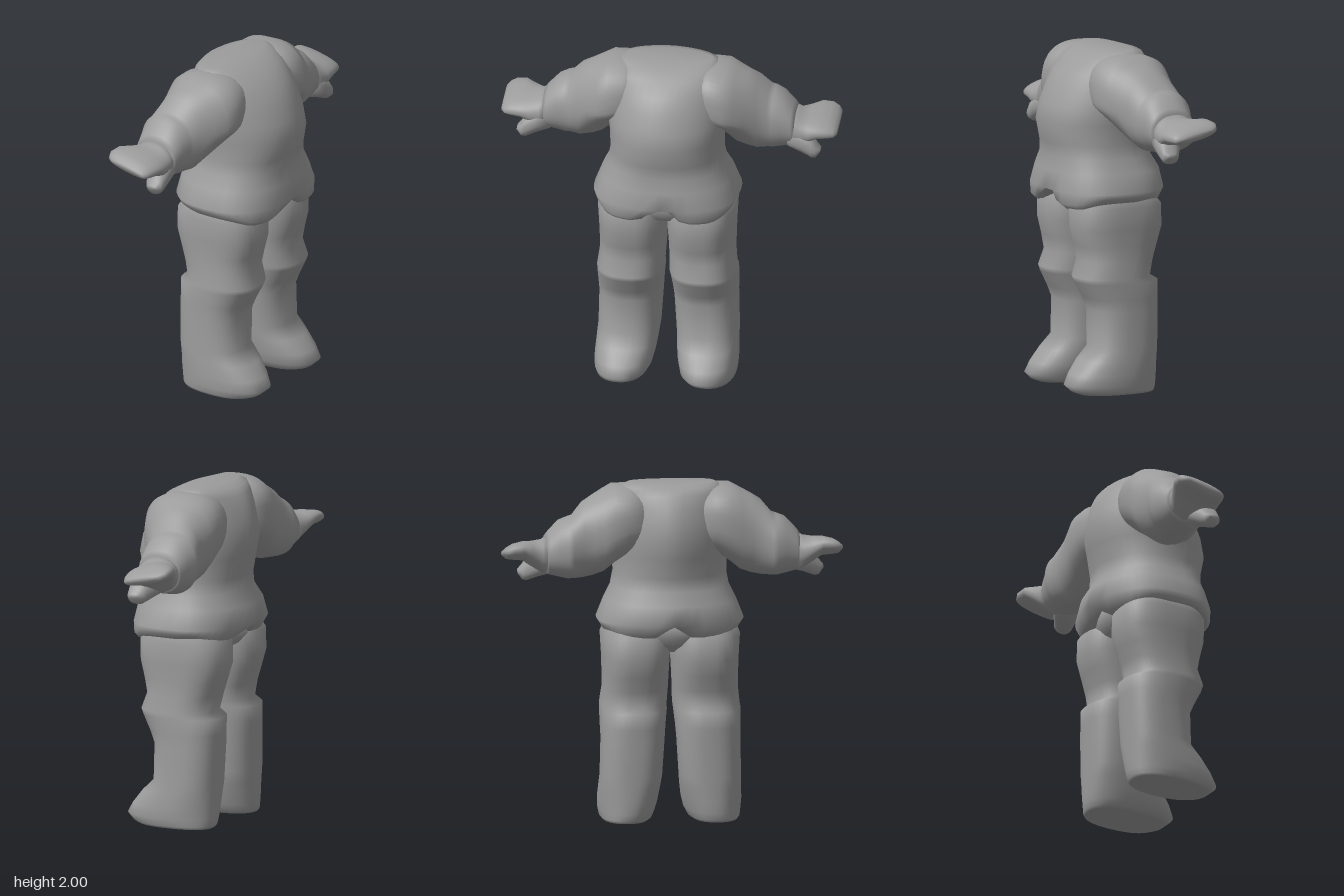
import * as THREE from 'three';

const SEG = 40;
const { clamp, smoothstep } = THREE.MathUtils;

// Rounded section between two extents on each of two axes
function section(uMin, uMax, vMin, vMax, n) {
  const pts = [];
  const uc = (uMin + uMax) / 2, ur = (uMax - uMin) / 2;
  const vc = (vMin + vMax) / 2, vr = (vMax - vMin) / 2;
  const p = (t) => Math.sign(t) * Math.pow(Math.abs(t), 2 / n);
  for (let j = 0; j < SEG; j++) {
    const a = (j / SEG) * Math.PI * 2;
    pts.push([uc + ur * p(Math.cos(a)), vc + vr * p(Math.sin(a))]);
  }
  return pts;
}

// Smooth skin over a list of rings, closed at both ends
function loft(rings) {
  const pos = [], idx = [];
  rings.forEach((r) => r.forEach((v) => pos.push(v.x, v.y, v.z)));
  for (let i = 0; i < rings.length - 1; i++) {
    for (let j = 0; j < SEG; j++) {
      const k = (j + 1) % SEG;
      const a = i * SEG + j, b = i * SEG + k, c = a + SEG, d = b + SEG;
      idx.push(a, c, b, b, c, d);
    }
  }
  [0, rings.length - 1].forEach((row) => {
    const mid = new THREE.Vector3();
    rings[row].forEach((v) => mid.addScaledVector(v, 1 / SEG));
    const m = pos.length / 3;
    pos.push(mid.x, mid.y, mid.z);
    for (let j = 0; j < SEG; j++) {
      const a = row * SEG + j, b = row * SEG + (j + 1) % SEG;
      if (row) idx.push(a, m, b); else idx.push(a, b, m);
    }
  });
  const g = new THREE.BufferGeometry();
  g.setAttribute('position', new THREE.Float32BufferAttribute(pos, 3));
  g.setIndex(idx);
  g.computeVertexNormals();
  return g;
}

const keep = (v) => v;

// Rows: y, xMin, xMax, back z, front z, squareness
const loftUp = (rows, rule = keep) => loft(rows.map(([y, x0, x1, zb, zf, n = 2.4]) =>
  section(x0, x1, zb, zf, n).map(([x, z]) => rule(new THREE.Vector3(x, y, z)))));

// Rows: x, bottom y, top y, back z, front z, squareness
const loftOut = (rows, rule = keep) => loft(rows.map(([x, y0, y1, zb, zf, n = 2.2]) =>
  section(zb, zf, y0, y1, n).map(([z, y]) => rule(new THREE.Vector3(x, y, z)))));

function mirrored(geo) {
  const g = geo.clone().scale(-1, 1, 1);
  const ix = g.index.array;
  for (let i = 0; i < ix.length; i += 3) [ix[i], ix[i + 1]] = [ix[i + 1], ix[i]];
  g.computeVertexNormals();
  return g;
}

export function createModel() {
  const model = new THREE.Group();
  model.name = 'bodySuit';
  const grey = new THREE.MeshStandardMaterial({ color: 0x9c9c9c });
  grey.name = 'suitGrey';

  const add = (name, geo) => {
    const m = new THREE.Mesh(geo, grey);
    m.name = name;
    model.add(m);
  };
  const addPair = (name, geo) => {
    add('left' + name, geo);
    add('right' + name, mirrored(geo));
  };

  // Jacket: back rounded off, hem notched at the centre and raised at the sides
  const torso = [
    [1.12, 0.37, -0.22, 0.22, 2.8],
    [1.095, 0.395, -0.265, 0.31, 2.9],
    [1.12, 0.41, -0.31, 0.34, 2.8],
    [1.19, 0.428, -0.36, 0.35, 2.6],
    [1.30, 0.385, -0.34, 0.335, 2.5],
    [1.38, 0.345, -0.29, 0.315, 2.4],
    [1.46, 0.33, -0.295, 0.33, 2.2],
    [1.58, 0.335, -0.325, 0.36, 2.1],
    [1.68, 0.35, -0.345, 0.34, 2.0],
    [1.78, 0.35, -0.335, 0.30, 1.9],
    [1.87, 0.34, -0.31, 0.25, 1.9],
    [1.94, 0.32, -0.27, 0.17, 2.1],
    [1.98, 0.29, -0.23, 0.09, 2.4],
    [2.0, 0.25, -0.16, 0.02, 2.6],
  ];
  add('jacket', loftUp(torso.map(([y, w, ...r]) => [y, -w, w, ...r]), (v) => {
    const ax = Math.abs(v.x);
    if (v.z < 0) v.z *= 1 - 0.3 * ax;
    if (v.y < 1.15) {
      const notch = Math.max(0, 1 - ax / 0.13);
      v.y += (v.z > 0 ? 0.09 : 0.05) * notch + 0.04 * smoothstep(ax, 0.28, 0.41);
      v.z *= 1 - 0.15 * notch;
    }
    return v;
  }));

  // Seat of the trousers, bridging the two legs
  add('pelvis', loftUp([
    [1.0, -0.09, 0.09, -0.13, 0.10],
    [1.05, -0.18, 0.18, -0.22, 0.19],
    [1.10, -0.24, 0.24, -0.26, 0.235],
    [1.19, -0.26, 0.26, -0.27, 0.25],
  ]));

  // Trouser leg, knee, boot with stepped calf top, and toe
  addPair('Leg', loftUp([
    [0.005, 0.13, 0.395, -0.21, 0.25, 2.4],
    [0.02, 0.105, 0.408, -0.222, 0.29, 2.3],
    [0.06, 0.085, 0.415, -0.23, 0.335, 2.2],
    [0.12, 0.07, 0.418, -0.233, 0.30, 2.3],
    [0.20, 0.058, 0.413, -0.236, 0.235, 2.4],
    [0.27, 0.05, 0.41, -0.238, 0.16, 2.5],
    [0.49, 0.036, 0.405, -0.245, 0.158, 2.5],
    [0.56, 0.03, 0.408, -0.247, 0.19, 2.4],
    [0.655, 0.02, 0.41, -0.25, 0.24, 2.4],
    [0.685, 0.018, 0.407, -0.20, 0.25, 2.4],
    [0.78, 0.014, 0.395, -0.22, 0.215, 2.5],
    [0.87, 0.01, 0.395, -0.25, 0.235, 2.5],
    [0.97, 0.005, 0.397, -0.28, 0.26, 2.6],
    [1.10, 0.0, 0.405, -0.275, 0.26, 2.6],
    [1.20, 0.02, 0.37, -0.2, 0.2, 2.4],
  ]));

  // Padded sleeve from shoulder to cuff, the front of the armpit tucked up
  addPair('Sleeve', loftOut([
    [0.12, 1.64, 1.96, -0.24, 0.14, 2.3],
    [0.25, 1.59, 1.985, -0.29, 0.185, 2.5],
    [0.34, 1.53, 1.985, -0.295, 0.19, 2.5],
    [0.40, 1.48, 1.955, -0.285, 0.165, 2.4],
    [0.46, 1.46, 1.925, -0.275, 0.125],
    [0.52, 1.45, 1.89, -0.27, 0.085],
    [0.58, 1.45, 1.82, -0.29, 0.05],
    [0.61, 1.45, 1.81, -0.295, 0.05],
    [0.66, 1.46, 1.79, -0.27, 0.035],
    [0.72, 1.475, 1.725, -0.255, 0.025],
    [0.74, 1.49, 1.70, -0.24, 0.01],
  ], (v) => {
    const under = smoothstep(1.75 - v.y, 0, 0.2) * smoothstep(v.z, -0.08, 0.1);
    v.y += 0.07 * under * (1 - smoothstep(v.x, 0.4, 0.55));
    return v;
  }));

  // Mitten hand, its front edge tipped down towards the fingertips
  addPair('Hand', loftOut([
    [0.70, 1.485, 1.72, -0.245, 0.015],
    [0.76, 1.485, 1.68, -0.245, 0.015],
    [0.82, 1.525, 1.675, -0.27, 0.02],
    [0.87, 1.56, 1.675, -0.29, 0.02],
    [0.93, 1.565, 1.66, -0.295, 0.005, 2.4],
    [0.965, 1.57, 1.64, -0.28, -0.01, 2.5],
    [0.985, 1.59, 1.62, -0.25, -0.03, 2.5],
  ], (v) => {
    v.y -= (v.z + 0.14) * 0.2 * clamp((v.x - 0.72) / 0.12, 0, 1);
    return v;
  }));

  // Thumb pointing down and outward
  addPair('Thumb', loftOut([
    [0.70, 1.475, 1.62, -0.17, 0.01],
    [0.78, 1.45, 1.60, -0.14, 0.025],
    [0.84, 1.425, 1.56, -0.10, 0.025],
    [0.865, 1.43, 1.52, -0.085, 0.02],
    [0.89, 1.465, 1.49, -0.06, 0.0],
  ]));

  return model;
}
